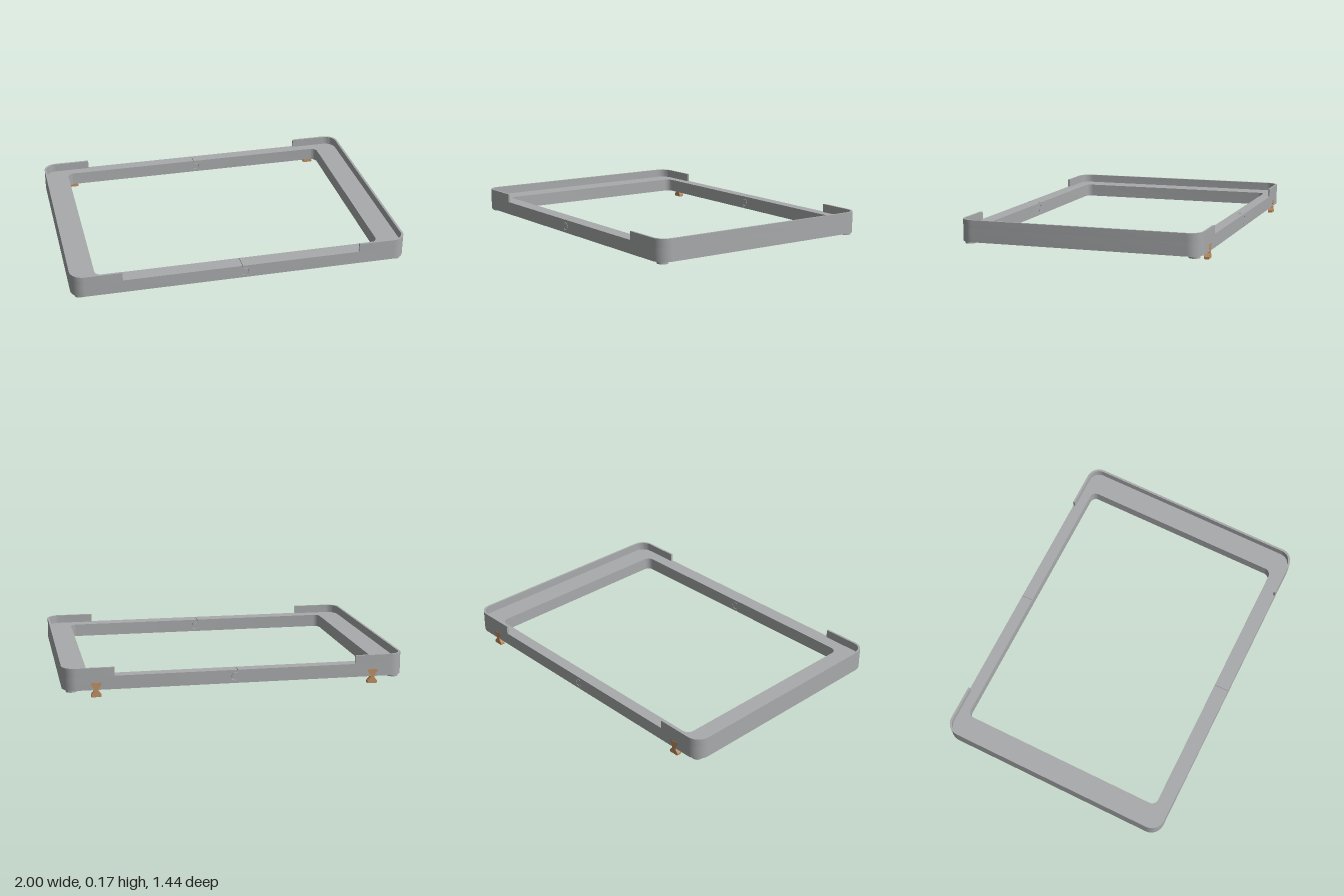
import * as THREE from 'three';
import { toCreasedNormals } from 'three/addons/utils/BufferGeometryUtils.js';

const HX = 1, HZ = 0.718;                 // outer half sizes
const IN_X = 0.85, IN_F = 0.628, IN_B = -0.648; // opening
const BOTTOM = 0.042, DECK = 0.12, TOP = 0.17;
const JOINT = 0.06;                       // half width of the interlocking rail sections
const WALL = 0.013;

// quarter-round corner between two straight runs
function corner(cx, cz, r, a0, a1) {
  return Array.from({ length: 11 }, (_, i) => {
    const a = a0 + (a1 - a0) * i / 10;
    return [cx + r * Math.cos(a), cz + r * Math.sin(a)];
  });
}

// one side of a rounded rectangle, running from the back end round to the front end
function sidePath(xStart, hx, back, front, r) {
  return [
    [xStart, back],
    ...corner(hx - r, back + r, r, -Math.PI / 2, 0),
    ...corner(hx - r, front - r, r, 0, Math.PI / 2),
    [xStart, front],
  ];
}

function extrude(points, depth) {
  const shape = new THREE.Shape(points.map(([x, y]) => new THREE.Vector2(x, y)));
  return new THREE.ExtrudeGeometry(shape, { depth, bevelEnabled: false });
}

// C-shaped plan between two side paths, standing from y0 to y1
function cSection(outer, inner, y0, y1, side) {
  const pts = [...outer, ...inner.slice().reverse()].map(([x, z]) => [x * side, z]);
  const geo = extrude(pts, y1 - y0).rotateX(Math.PI / 2).translate(0, y1, 0);
  return toCreasedNormals(geo, Math.PI / 6);
}

// seam with a round tab, listed from bottom to top
function seam(gap) {
  const x = -0.005 + gap, cy = (BOTTOM + DECK) / 2, a = Math.PI - 0.75;
  return [[x, BOTTOM], ...corner(0.01, cy, 0.021 + gap, -a, a), [x, DECK]];
}

export function createModel() {
  const model = new THREE.Group();
  const grey = new THREE.MeshStandardMaterial({ color: 0xa8aaab });
  grey.name = 'grey';
  const tan = new THREE.MeshStandardMaterial({ color: 0xbf9064 });
  tan.name = 'tan';

  const add = (name, geo, mat, x = 0, y = 0, z = 0) => {
    const mesh = new THREE.Mesh(geo, mat);
    mesh.name = name;
    mesh.position.set(x, y, z);
    model.add(mesh);
  };

  for (const side of [1, -1]) {
    const label = side > 0 ? 'left' : 'right';

    // half of the flat frame
    add(`${label}Frame`, cSection(
      sidePath(JOINT, HX, -HZ, HZ, 0.08),
      sidePath(JOINT, IN_X, IN_B, IN_F, 0.04), BOTTOM, DECK, side), grey);

    // raised wall around the end and corners
    add(`${label}Wall`, cSection(
      sidePath(0.705, HX, -HZ, HZ, 0.08),
      sidePath(0.705, HX - WALL, -HZ + WALL, HZ - WALL, 0.08 - WALL), DECK, TOP, side), grey);

    // round feet under the corners
    for (const end of [1, -1]) {
      add(`${label}${end > 0 ? 'Front' : 'Back'}Foot`,
        new THREE.CylinderGeometry(0.032, 0.032, 0.016, 32), grey,
        side * 0.947, 0.036, end * 0.668);
    }

    // bow-tie clip let into the back face
    const half = [[0.029, 0], [0.029, 0.014], [0.013, 0.034],
      [0.013, 0.05], [0.029, 0.07], [0.029, 0.084]];
    const outline = [...half, ...half.map(([x, y]) => [-x, y]).reverse()];
    add(`${label}Clip`, extrude(outline, 0.028), tan, side * 0.81, 0, -HZ - 0.001);
  }

  // interlocking joints in the middle of the front and back rails
  const rails = [['front', IN_F, HZ], ['back', -HZ, IN_B]];
  for (const [name, z0, z1] of rails) {
    const tab = [[-JOINT, BOTTOM], ...seam(0), [-JOINT, DECK]];
    const socket = [[JOINT, BOTTOM], ...seam(0.003), [JOINT, DECK]];
    add(`${name}JointTab`, toCreasedNormals(extrude(tab, z1 - z0), Math.PI / 5), grey, 0, 0, z0);
    add(`${name}JointSocket`, toCreasedNormals(extrude(socket, z1 - z0), Math.PI / 5), grey, 0, 0, z0);
  }
  return model;
}
